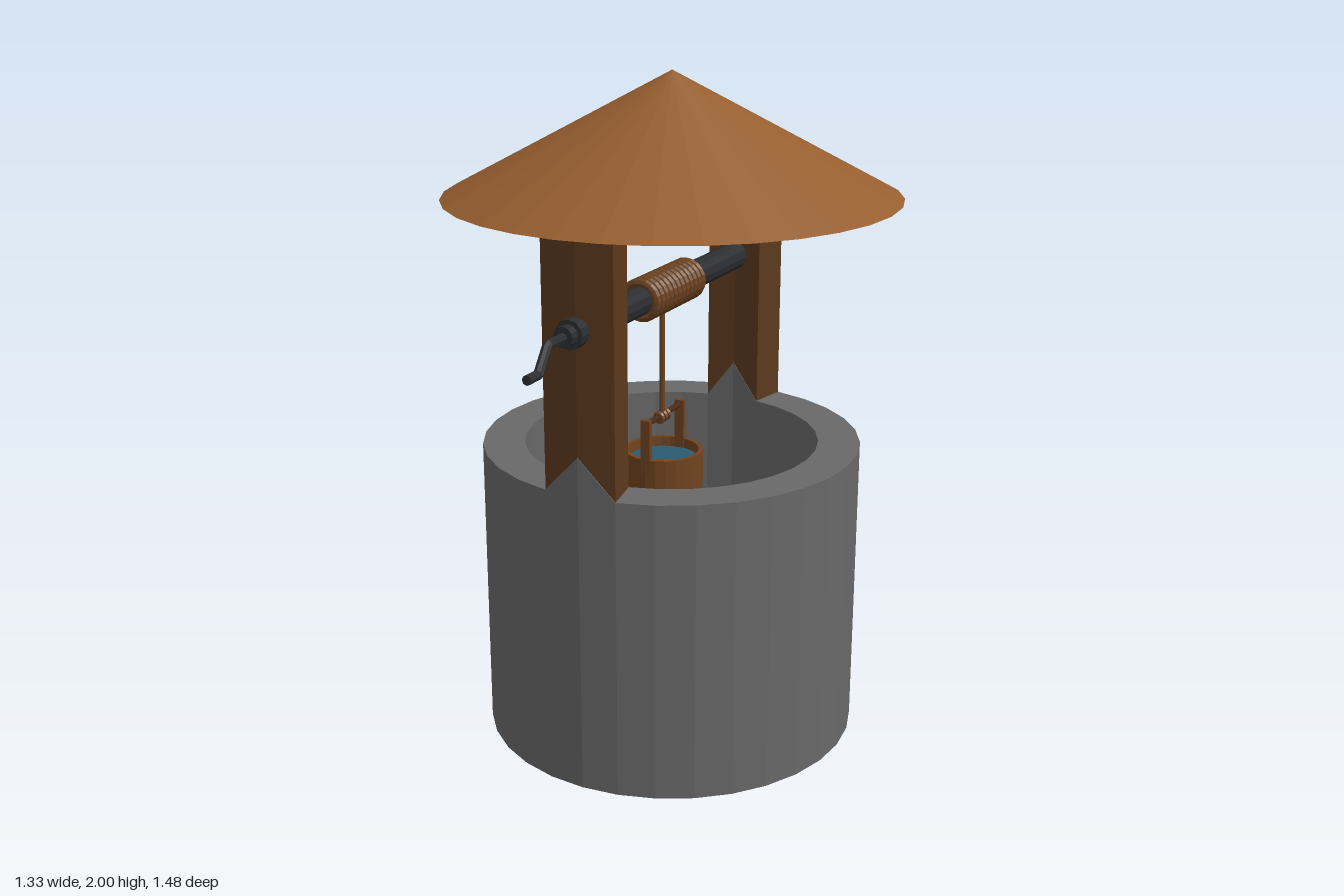
import * as THREE from 'three';

const CZ = -0.071;            // z of the well's axis
const RO = 0.567, RI = 0.442; // wall radii
const RIM = 0.905, EAVE = 1.643, AXLE = 1.375;
const SIDES = 32, STEP = (Math.PI * 2) / SIDES;

const mat = (color) => new THREE.MeshStandardMaterial({ color, flatShading: true, side: THREE.DoubleSide });
const stone = mat(0x686868), roofWood = mat(0x965e30), postWood = mat(0x5c391d);
const iron = mat(0x2b2d30), ropeMat = mat(0x6b4220), darkWood = mat(0x4a2a18);
const bucketWood = mat(0x70431f), water = mat(0x2b5a72);

export function createModel() {
  const model = new THREE.Group();

  const add = (name, geo, material, x = 0, y = 0, z = 0, parent = model) => {
    const m = new THREE.Mesh(geo, material);
    m.name = name;
    m.position.set(x, y, z);
    parent.add(m);
    return m;
  };
  // Cylinder lying along z between two z values
  const rod = (name, r, z0, z1, y, material, sides = 10, parent = model) =>
    add(name, new THREE.CylinderGeometry(r, r, Math.abs(z1 - z0), sides).rotateX(Math.PI / 2),
      material, 0, y, (z0 + z1) / 2, parent);

  // Stone wall, with the rim rising to a point at the foot of each post
  const wallGeo = new THREE.LatheGeometry(
    [[RO, 0], [RO, RIM], [RI, RIM], [RI, 0.05]].map(([r, y]) => new THREE.Vector2(r, y)), SIDES);
  const p = wallGeo.attributes.position;
  for (let i = 0; i < p.count; i++) {
    if (p.getY(i) > RIM - 0.01 && Math.abs(p.getX(i)) < 0.01) p.setY(i, 1.02);
  }
  wallGeo.computeVertexNormals();
  add('wall', wallGeo, stone, 0, 0, CZ);
  add('wellWater', new THREE.CircleGeometry(RI, SIDES).rotateX(-Math.PI / 2), water, 0, 0.05, CZ);

  // Two posts, each a wedge of the wall's ring carried up to the roof
  const arc = (r, dir) => [-1, 0, 1].map((k) => {
    const a = k * dir * STEP;
    return new THREE.Vector2(r * Math.sin(a), -r * Math.cos(a));
  });
  const postShape = new THREE.Shape([...arc(RO - 0.002, 1), ...arc(RI + 0.002, -1)]);
  const postGeo = new THREE.ExtrudeGeometry(postShape, { depth: EAVE - RIM, bevelEnabled: false })
    .rotateX(-Math.PI / 2);
  add('frontPost', postGeo, postWood, 0, RIM, CZ);
  add('backPost', postGeo, postWood, 0, RIM, CZ).rotation.y = Math.PI;

  // Conical roof with flat underside
  add('roof', new THREE.ConeGeometry(0.667, 2 - EAVE, SIDES), roofWood, 0, (2 + EAVE) / 2, CZ);

  // Axle, its end fittings and the crank
  const winch = new THREE.Group();
  winch.name = 'winch';
  model.add(winch);
  rod('axle', 0.042, 0.53, -0.64, AXLE, iron, 12, winch);
  rod('axleEnd', 0.034, -0.64, -0.66, AXLE, iron, 12, winch);
  rod('axleCollar', 0.03, 0.53, 0.56, AXLE, iron, 12, winch);
  const crank = new THREE.CurvePath();
  const bend = [[AXLE, 0.55], [AXLE, 0.637], [1.309, 0.685], [1.309, 0.743]]
    .map(([y, z]) => new THREE.Vector3(0, y, z));
  for (let i = 0; i < 3; i++) crank.add(new THREE.LineCurve3(bend[i], bend[i + 1]));
  add('crank', new THREE.TubeGeometry(crank, 40, 0.014, 8), iron, 0, 0, 0, winch);
  for (const i of [0, 3]) {
    add('crankEnd', new THREE.CircleGeometry(0.014, 8), iron, 0, bend[i].y, bend[i].z, winch);
  }

  // Rope wound around the axle, and the hanging length
  const TURNS = 12;
  for (let i = 0; i < TURNS; i++) {
    add('ropeCoil', new THREE.TorusGeometry(0.051, 0.0135, 8, 20), ropeMat,
      0, AXLE, 0.122 - i * 0.0262, winch);
  }
  add('rope', new THREE.CylinderGeometry(0.008, 0.008, 0.345, 8), ropeMat, 0, 1.163, -0.01);

  // Bucket with water, two uprights and a cross bar tied to the rope
  const bucket = new THREE.Group();
  bucket.name = 'bucket';
  bucket.position.z = -0.018;
  model.add(bucket);
  add('bucketBody', new THREE.LatheGeometry(
    [[0, 0.65], [0.118, 0.65], [0.12, 0.885], [0.106, 0.885], [0.104, 0.67], [0, 0.67]]
      .map(([r, y]) => new THREE.Vector2(r, y)), 24), bucketWood, 0, 0, 0, bucket);
  add('bucketWater', new THREE.CircleGeometry(0.105, 24).rotateX(-Math.PI / 2), water, 0, 0.855, 0, bucket);
  for (const s of [-1, 1]) {
    add('bucketUpright', new THREE.BoxGeometry(0.03, 0.17, 0.016), bucketWood, 0, 0.921, s * 0.111, bucket);
  }
  rod('bucketBar', 0.009, -0.118, 0.118, 0.993, darkWood, 8, bucket);
  for (let i = -1; i <= 1; i++) {
    add('knot', new THREE.TorusGeometry(0.012, 0.008, 6, 12), ropeMat, 0, 0.99, 0.008 + i * 0.02, bucket);
  }

  return model;
}
